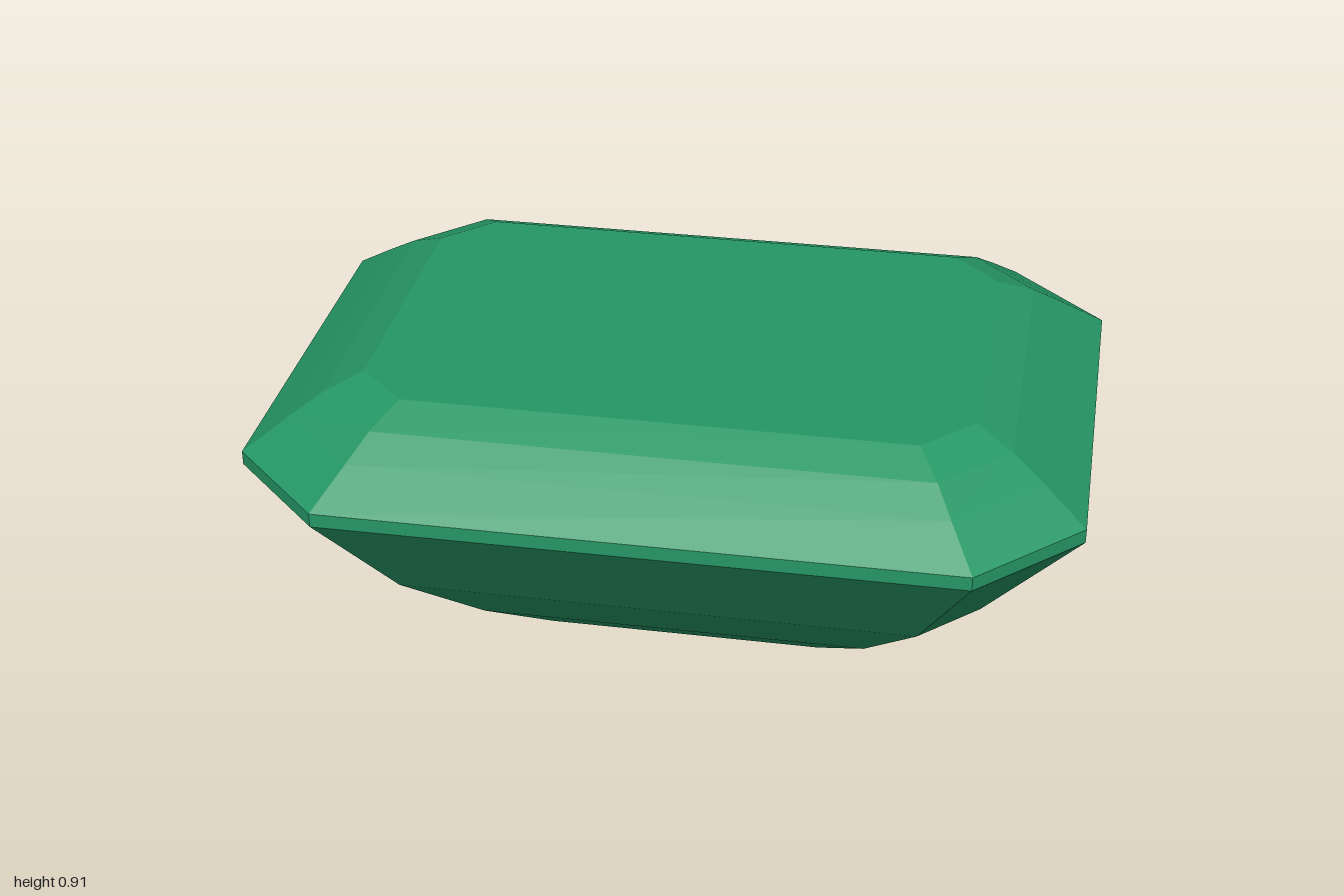
import * as THREE from 'three';

// Rings of the cut stone: [height, half width, half depth, corner cut]
const KEEL = [
  [0, 0.34, 0.003, 0.002],
  [0.05, 0.39, 0.105, 0.04],
  [0.19, 0.535, 0.285, 0.05],
  [0.41, 0.77, 0.52, 0.14],
  [0.71, 1, 0.75, 0.24],
];
const GIRDLE = [[0.71, 1, 0.75, 0.24], [0.745, 1, 0.75, 0.24]];
const CROWN = [
  [0.745, 1, 0.75, 0.24],
  [0.82, 0.895, 0.645, 0.195],
  [0.87, 0.82, 0.57, 0.16],
  [0.91, 0.73, 0.48, 0.12],
];

// Rectangle with cut corners, counterclockwise from above
function ring([y, a, b, c]) {
  const cx = a - c, cz = b - c;
  return [
    [-cx, y, b], [cx, y, b], [a, y, cz], [a, y, -cz],
    [cx, y, -b], [-cx, y, -b], [-a, y, -cz], [-a, y, cz],
  ];
}

// Joins rings into flat facets, with an optional cap at either end
function facets(levels, capBottom, capTop) {
  const rings = levels.map(ring);
  const pos = [];
  const tri = (p, q, r) => pos.push(...p, ...q, ...r);
  for (let k = 0; k < rings.length - 1; k++) {
    const lo = rings[k], hi = rings[k + 1];
    for (let i = 0; i < 8; i++) {
      const j = (i + 1) % 8;
      tri(lo[i], lo[j], hi[j]);
      tri(lo[i], hi[j], hi[i]);
    }
  }
  const first = rings[0], last = rings[rings.length - 1];
  for (let i = 1; i < 7; i++) {
    if (capBottom) tri(first[0], first[i + 1], first[i]);
    if (capTop) tri(last[0], last[i], last[i + 1]);
  }
  const geo = new THREE.BufferGeometry();
  geo.setAttribute('position', new THREE.Float32BufferAttribute(pos, 3));
  geo.computeVertexNormals();
  return geo;
}

export function createModel() {
  const group = new THREE.Group();
  group.name = 'emeraldCutGem';
  const green = new THREE.MeshStandardMaterial({ color: 0x269765 });
  green.name = 'emerald green';
  green.flatShading = true;

  const add = (name, geo) => {
    const mesh = new THREE.Mesh(geo, green);
    mesh.name = name;
    group.add(mesh);
  };
  add('pavilion', facets(KEEL, true, false)); // tapering underside
  add('girdle', facets(GIRDLE, false, false)); // upright rim
  add('crown', facets(CROWN, false, true)); // bevels and flat table
  return group;
}
